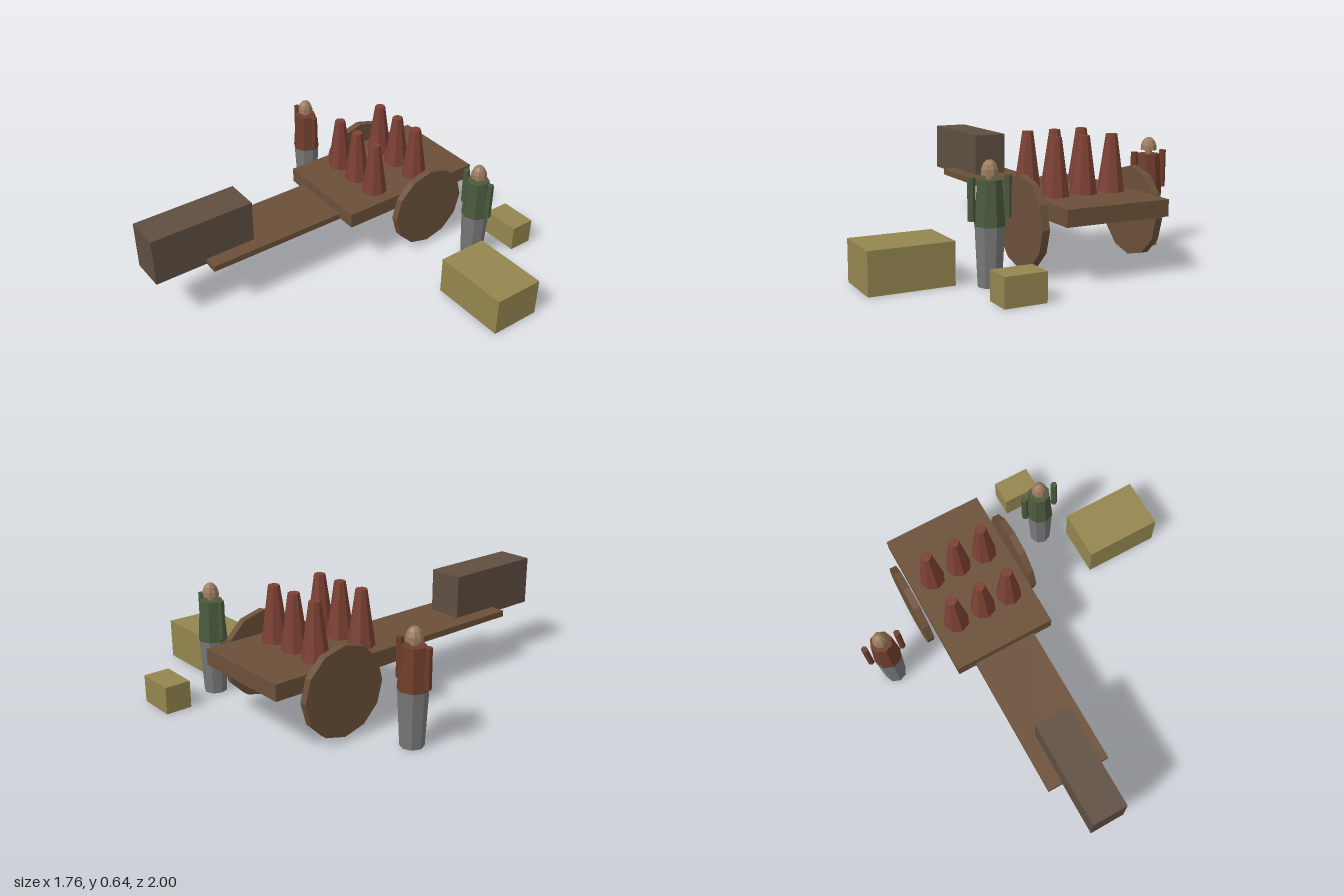
import * as THREE from 'three';

const paint = (color) => new THREE.MeshStandardMaterial({ color, flatShading: true });
const wood = paint(0x6b5039);
const hide = paint(0x5e4e41);
const clay = paint(0x7c4033);
const straw = paint(0x94864f);
const skin = paint(0x9a7a5c);
const cloth = paint(0x787878);

function add(parent, name, geometry, material, x, y, z) {
  const mesh = new THREE.Mesh(geometry, material);
  mesh.name = name;
  mesh.position.set(x, y, z);
  parent.add(mesh);
  return mesh;
}

// Box given by its minimum and maximum corners
function block(parent, name, material, [x0, y0, z0], [x1, y1, z1]) {
  const geometry = new THREE.BoxGeometry(x1 - x0, y1 - y0, z1 - z0);
  return add(parent, name, geometry, material, (x0 + x1) / 2, (y0 + y1) / 2, (z0 + z1) / 2);
}

// Upright tapered cylinder between two heights
function taper(parent, name, material, x, z, y0, y1, rBottom, rTop, sides = 8) {
  const geometry = new THREE.CylinderGeometry(rTop, rBottom, y1 - y0, sides);
  return add(parent, name, geometry, material, x, (y0 + y1) / 2, z);
}

function createFigure(name, x, z, shirt) {
  const figure = new THREE.Group();
  figure.name = name;
  figure.position.set(x, 0, z);
  taper(figure, 'legs', cloth, 0, 0, 0, 0.28, 0.058, 0.072);
  taper(figure, 'torso', shirt, 0, 0, 0.28, 0.488, 0.074, 0.058);
  taper(figure, 'neck', skin, 0, 0, 0.485, 0.512, 0.018, 0.018);
  for (const side of [-1, 1]) {
    taper(figure, side > 0 ? 'leftArm' : 'rightArm', shirt, side * 0.09, 0, 0.306, 0.502, 0.018, 0.018, 6);
  }
  // Domed head with a flat underside
  const profile = [[0, 0], [0.042, 0], [0.04, 0.025], [0.031, 0.048], [0.017, 0.063], [0, 0.068]];
  const dome = new THREE.LatheGeometry(profile.map(([r, y]) => new THREE.Vector2(r, y)), 8);
  add(figure, 'head', dome, skin, 0, 0.508, 0);
  return figure;
}

export function createModel() {
  const model = new THREE.Group();
  model.name = 'loadedCart';

  // Cart with bed, shaft plank and two wheels
  const cart = new THREE.Group();
  cart.name = 'cart';
  model.add(cart);
  block(cart, 'bed', wood, [-0.498, 0.28, -0.863], [0.05, 0.361, -0.038]);
  block(cart, 'shaftPlank', wood, [-0.398, 0.276, -0.1], [-0.055, 0.308, 0.722]);
  for (const [name, x] of [['leftWheel', 0.087], ['rightWheel', -0.534]]) {
    const wheel = add(cart, name, new THREE.CylinderGeometry(0.224, 0.224, 0.038, 12), wood, x, 0.246, -0.522);
    wheel.rotation.z = Math.PI / 2;
  }

  // Two rows of three clay jars
  for (const x of [-0.381, -0.225, -0.071]) {
    for (const z of [-0.553, -0.278]) {
      taper(cart, 'jar', clay, x, z, 0.361, 0.64, 0.068, 0.028);
    }
  }

  // Draught animal block at the front of the shaft
  block(model, 'draughtAnimal', hide, [-0.318, 0.278, 0.445], [-0.132, 0.533, 1]);

  // Bales standing beside the cart
  block(model, 'largeBale', straw, [0.464, 0, -0.588], [0.879, 0.206, -0.314]);
  block(model, 'smallBale', straw, [0.224, 0, -1], [0.43, 0.139, -0.865]);

  // Attendants on either side
  model.add(createFigure('rightAttendant', -0.776, -0.315, paint(0x6e3d2a)));
  model.add(createFigure('leftAttendant', 0.327, -0.656, paint(0x4b5a3e)));

  return model;
}
